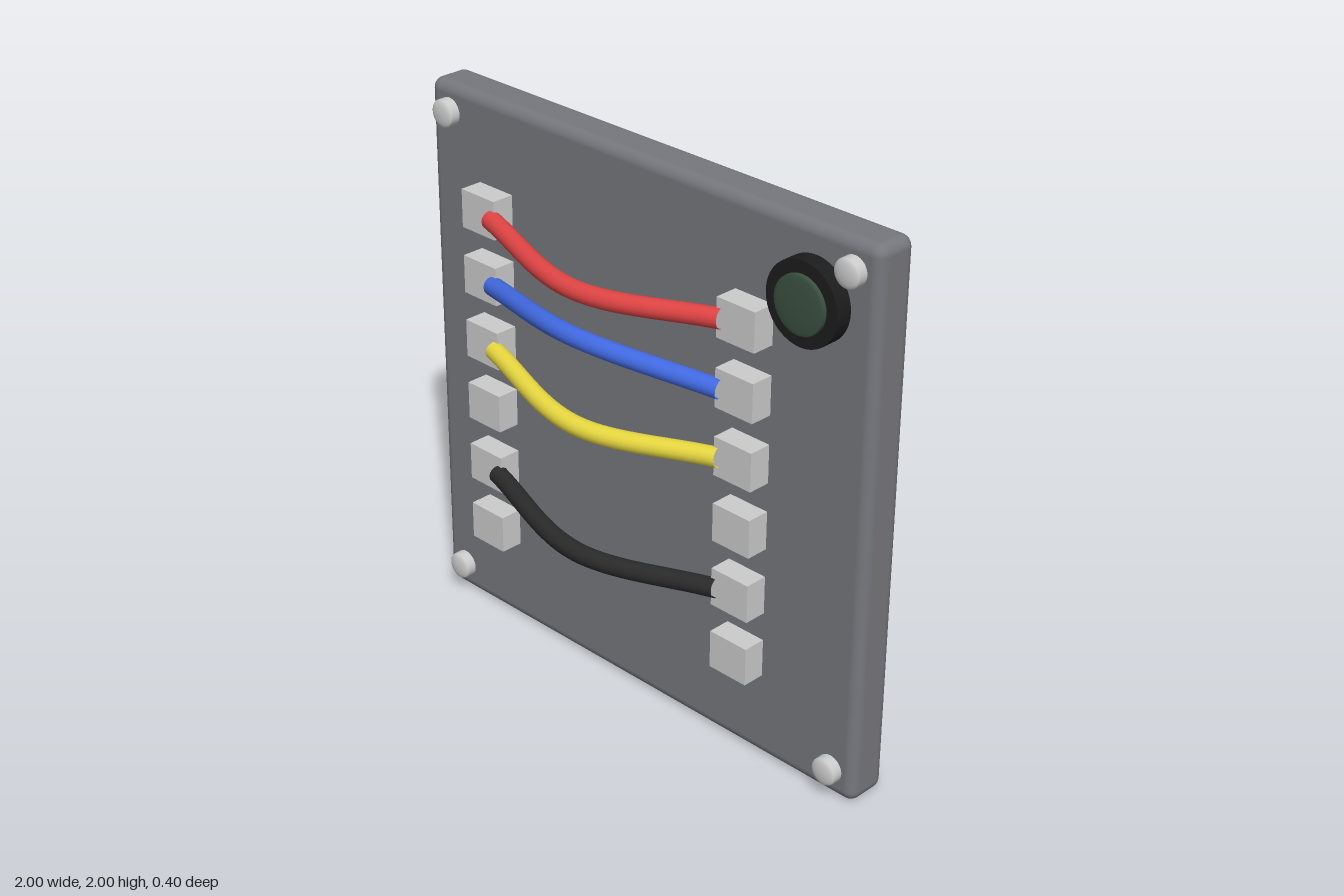
import * as THREE from 'three';
import { RoundedBoxGeometry } from 'three/addons/geometries/RoundedBoxGeometry.js';

const FACE = -0.042; // z of the panel's front face

function material(color, side = THREE.FrontSide) {
  return new THREE.MeshStandardMaterial({ color, side });
}

function add(parent, name, geometry, mat, x = 0, y = 0, z = 0) {
  const mesh = new THREE.Mesh(geometry, mat);
  mesh.name = name;
  mesh.position.set(x, y, z);
  parent.add(mesh);
  return mesh;
}

// Low domed disc whose axis points to +z and whose base lies at z = 0
function domedDisc(radius, height, dome) {
  const points = [new THREE.Vector2(radius, 0), new THREE.Vector2(radius, height - dome)];
  for (let i = 1; i <= 6; i++) {
    const a = (i / 6) * Math.PI / 2;
    points.push(new THREE.Vector2(i === 6 ? 0 : radius * Math.cos(a), height - dome + dome * Math.sin(a)));
  }
  return new THREE.LatheGeometry(points, 32).rotateX(Math.PI / 2);
}

export function createModel() {
  const model = new THREE.Group();
  model.name = 'wiringPanel';
  const grey = material(0xcccccc);

  // Backing panel with softened edges
  add(model, 'panel', new RoundedBoxGeometry(2, 2, 0.16, 3, 0.04), material(0x76777d), 0, 1, FACE - 0.08);

  // Two columns of terminals
  const rowY = (row) => 1.615 - row * 0.245;
  const terminal = new THREE.BoxGeometry(0.16, 0.14, 0.084);
  for (let row = 0; row < 6; row++) {
    add(model, 'terminalRight', terminal, grey, -0.675, rowY(row), 0);
    add(model, 'terminalLeft', terminal, grey, 0.51, rowY(row), 0);
  }

  // Wires bowing forward between the terminals
  const wires = [
    { name: 'redWire', row: 0, bend: -0.037, color: 0xe04444 },
    { name: 'blueWire', row: 1, bend: 0.04, color: 0x4169e1 },
    { name: 'yellowWire', row: 2, bend: -0.04, color: 0xe8d840 },
    { name: 'blackWire', row: 4, bend: -0.037, color: 0x2a2a2a },
  ];
  for (const { name, row, bend, color } of wires) {
    const y = rowY(row);
    const path = new THREE.CatmullRomCurve3([
      new THREE.Vector3(-0.615, y, 0.04),
      new THREE.Vector3(-0.0825, y + bend, 0.165),
      new THREE.Vector3(0.45, y, 0.04),
    ]);
    add(model, name, new THREE.TubeGeometry(path, 32, 0.034, 16), material(color, THREE.DoubleSide));
  }

  // Corner screws
  const screw = domedDisc(0.05, 0.046, 0.015);
  for (const x of [-0.9, 0.9]) {
    for (const y of [0.105, 1.9]) add(model, 'screw', screw, grey, x, y, FACE);
  }

  // Indicator lamp: dark bezel and green lens
  const bezel = new THREE.CylinderGeometry(0.143, 0.143, 0.06, 40).rotateX(Math.PI / 2);
  add(model, 'lampBezel', bezel, material(0x1c1c1c), 0.752, 1.76, FACE + 0.03);
  add(model, 'lampLens', domedDisc(0.1, 0.08, 0.008), material(0x3a5040), 0.752, 1.76, FACE);

  return model;
}
